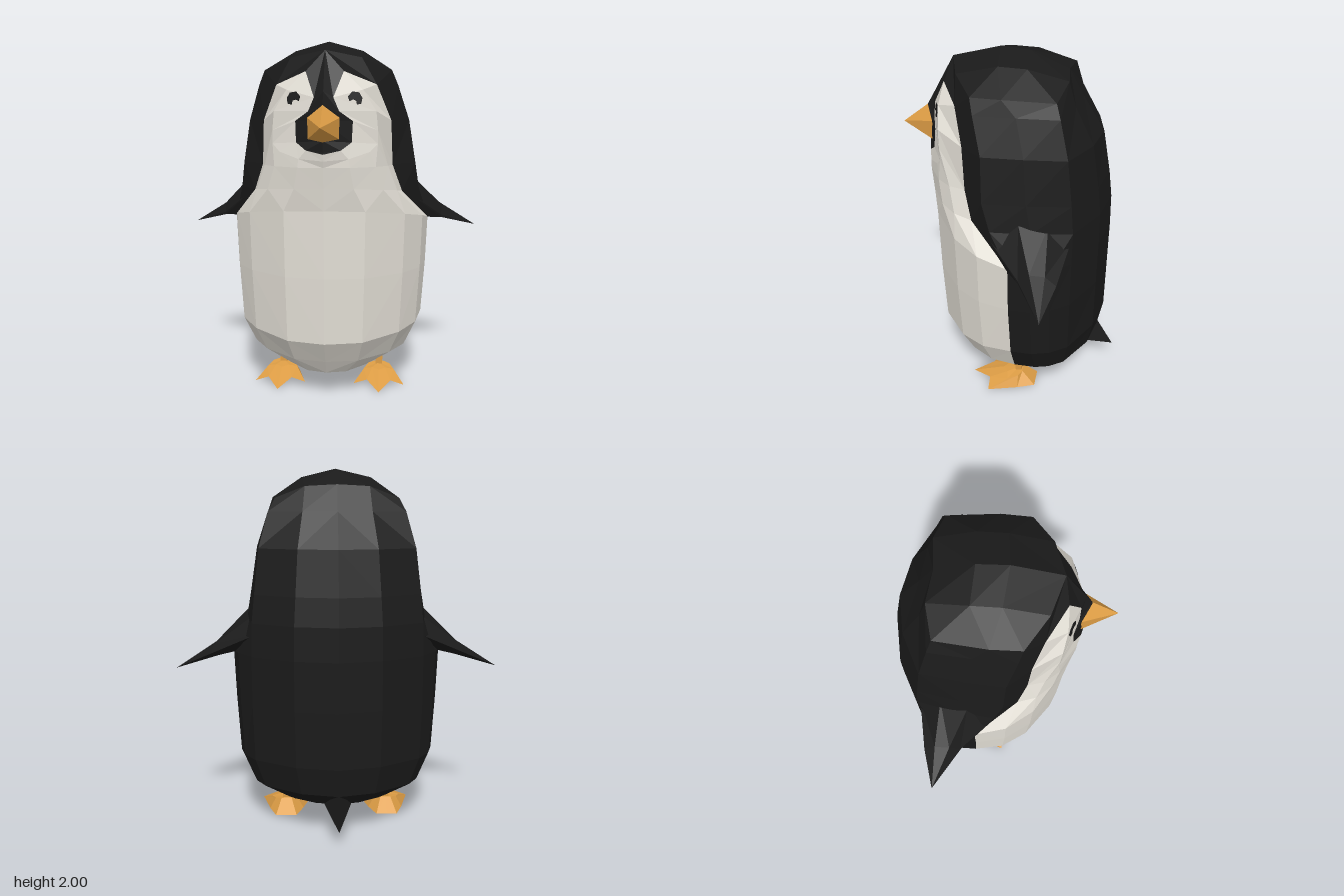
import * as THREE from 'three';

const material = (color) => new THREE.MeshStandardMaterial({ color, flatShading: true });
const black = material(0x1a1a1a);
const white = material(0xe2ded5);
const orange = material(0xdd9d45);

// Faceted mesh from grids of [x, y, z] rows; every grid is also mirrored across x = 0.
function loft(name, mat, ...grids) {
  const pos = [];
  const tri = (a, b, c) => {
    const [A, B, C] = [a, b, c].map((p) => new THREE.Vector3(...p));
    if (B.clone().sub(A).cross(C.clone().sub(A)).length() < 1e-7) return;
    pos.push(...a, ...b, ...c);
    const flip = (p) => [-p[0], p[1], p[2]];
    pos.push(...flip(a), ...flip(c), ...flip(b));
  };
  for (const rows of grids) {
    for (let r = 0; r + 1 < rows.length; r++) {
      for (let c = 0; c + 1 < rows[r].length; c++) {
        const [p, q, s, t] = [rows[r][c], rows[r][c + 1], rows[r + 1][c + 1], rows[r + 1][c]];
        tri(p, q, s);
        tri(p, s, t);
      }
    }
  }
  const geo = new THREE.BufferGeometry();
  geo.setAttribute('position', new THREE.Float32BufferAttribute(pos, 3));
  geo.computeVertexNormals();
  const mesh = new THREE.Mesh(geo, mat);
  mesh.name = name;
  return mesh;
}

const same = (p, n) => Array(n).fill(p);

// Body sections: y at side, y at front, half width, front z, back z,
// colour border x and z, back corner x and z
const sections = [
  [0.145, 0.145, 0.29, 0.28, -0.37, 0.29, -0.10, 0.24, -0.28],
  [0.26, 0.23, 0.475, 0.335, -0.53, 0.475, -0.09, 0.4, -0.365],
  [0.42, 0.36, 0.545, 0.415, -0.56, 0.545, -0.08, 0.45, -0.39],
  [0.73, 0.73, 0.565, 0.43, -0.56, 0.565, -0.07, 0.46, -0.39],
  [1.0, 1.1, 0.575, 0.435, -0.56, 0.575, -0.07, 0.46, -0.39],
  [1.18, 1.22, 0.515, 0.45, -0.555, 0.415, 0.155, 0.455, -0.39],
  [1.33, 1.33, 0.49, 0.465, -0.535, 0.36, 0.2, 0.44, -0.375],
  [1.57, 1.57, 0.45, 0.49, -0.49, 0.35, 0.21, 0.415, -0.345],
  [1.76, 1.76, 0.385, 0.43, -0.37, 0.27, 0.26, 0.365, -0.295],
];

// Half section in front of the colour border
function frontRow([y, yf, , zf, , bx, bz]) {
  const across = [0, 0.38, 0.75, 0.93, 1], forward = [1, 0.93, 0.63, 0.34, 0];
  return across.map((k, i) => [bx * k, y + (yf - y) * forward[i], bz + (zf - bz) * forward[i]]);
}

// Half section behind the colour border
function backRow([y, , hw, , zb, bx, bz, cx, cz]) {
  const zm = bz - 0.12;
  return [[bx, y, bz], [hw, y, zm], [hw * 0.7 + cx * 0.3, y, (zm + cz) / 2],
    [cx, y, cz], [cx / 2, y, zb + (cz - zb) * 0.27], [0, y, zb]];
}

function makeBody(group) {
  const belly = sections.slice(0, 7).map(frontRow);
  const back = sections.map(backRow);
  const under = [0, 0.13, -0.03];

  // Crown of the head
  const crownFront = [0, 1.935, 0.33];
  const crown = [[0.19, 1.9, 0.27], [0.35, 1.84, 0.16], [0.355, 1.84, 0],
    [0.33, 1.83, -0.27], [0.17, 1.89, -0.31], [0, 1.9, -0.29]];
  const t0 = [0, 2, 0.07], t1 = [0, 1.985, -0.09], s0 = [0.19, 1.95, 0.05], s1 = [0.19, 1.945, -0.1];

  // Face rings: outer edge, cheek bulge, dark patch round the beak, centre line
  const browTip = [0.1, 1.825, 0.36];
  const outer = [...belly[6], back[7][0], back[8][0], browTip];
  const cheek = [[0, 1.365, 0.475], [0.13, 1.375, 0.447], [0.24, 1.41, 0.38], [0.28, 1.45, 0.35],
    [0.28, 1.52, 0.352], [0.27, 1.62, 0.355], [0.2, 1.73, 0.368], browTip];
  const patch = [[0, 1.4, 0.48], [0.09, 1.42, 0.46], [0.145, 1.46, 0.42], [0.145, 1.46, 0.42],
    [0.15, 1.57, 0.407], [0.08, 1.62, 0.43], [0.05, 1.69, 0.43], browTip];
  const middle = [[1.4, 0.48], [1.41, 0.48], [1.47, 0.485], [1.47, 0.485], [1.57, 0.49], [1.65, 0.49],
    [1.72, 0.45], [1.935, 0.33]].map(([y, z]) => [0, y, z]);

  group.add(loft('belly', white, belly, [same(under, 5), belly[0]], [same(under, 6), back[0]]));
  group.add(loft('face', white, [outer, cheek, patch]));
  group.add(loft('beakPatch', black, [patch, middle]));
  group.add(loft('back', black, [...back, crown]));
  group.add(loft('crown', black,
    [[back[8][0], crown[0]], [browTip, crownFront]],
    [[crownFront, ...crown], [t0, s0, s0, s0, s1, s1, t1]],
    [[t0, s0], [t1, s1]]));
}

function makeEye(side) {
  // Dark faceted disc with a notch in its lower edge
  const shape = new THREE.Shape([[-0.04, 0.008], [-0.032, -0.016], [-0.012, -0.008], [0.004, -0.014],
    [0.008, -0.034], [0.03, -0.03], [0.038, 0], [0.022, 0.028], [-0.015, 0.033]]
    .map(([x, y]) => new THREE.Vector2(x * side, y)));
  const geo = new THREE.ExtrudeGeometry(shape, { depth: 0.012, bevelEnabled: false });
  geo.translate(0, 0, -0.006);
  const eye = new THREE.Mesh(geo, black);
  eye.name = side > 0 ? 'leftEye' : 'rightEye';
  eye.position.set(side * 0.16, 1.687, 0.386);
  eye.lookAt(side * 0.58, 1.887, 1.386);
  return eye;
}

function makeLeg(side) {
  const leg = new THREE.Group();
  leg.name = side > 0 ? 'leftLeg' : 'rightLeg';
  const shin = new THREE.Mesh(new THREE.BoxGeometry(0.042, 0.1, 0.036), orange);
  shin.name = 'shin';
  shin.position.set(0, 0.115, -0.085);
  // Webbed foot with three toes
  const edge = [[0, 0, 0.2], [0.07, 0.028, 0.085], [0.15, 0, 0.08], [0.1, 0, -0.09], [0.06, 0, -0.19], [0, 0, -0.19]];
  const top = [[0, 0.062, 0.01], [0.04, 0.065, -0.02], [0.09, 0.054, -0.03],
    [0.065, 0.066, -0.09], [0.03, 0.073, -0.11], [0, 0.073, -0.11]];
  const foot = loft('foot', orange,
    [same([0, 0.015, -0.05], 6), edge, top, same([0, 0.075, -0.085], 6)]);
  leg.add(shin, foot);
  leg.position.x = side * 0.297;
  return leg;
}

export function createModel() {
  const group = new THREE.Group();
  group.name = 'penguin';
  makeBody(group);

  // Beak
  const beakBase = [[0, 1.45, 0.46], [0.085, 1.475, 0.44], [0.09, 1.59, 0.43], [0, 1.655, 0.485]];
  group.add(loft('beak', orange, [beakBase, same([0, 1.54, 0.635], 4)]));

  // Wings, root to tip
  const root = [[0.54, 1.0, -0.2], [0.43, 1.12, -0.38], [0.45, 1.21, -0.26], [0.49, 1.23, -0.11],
    [0.43, 1.18, 0.12], [0.56, 1.0, -0.05], [0.54, 1.0, -0.2]];
  const mid = [[0.66, 0.978, -0.24], [0.68, 1.01, -0.34], [0.67, 1.05, -0.28], [0.67, 1.05, -0.2],
    [0.66, 1.0, -0.14], [0.66, 0.985, -0.14], [0.66, 0.978, -0.24]];
  group.add(loft('wings', black, [root, mid, same([0.88, 0.92, -0.285], 7)]));

  // Tail
  const tailBase = [[0, 0.28, -0.53], [0.075, 0.165, -0.4], [0, 0.15, -0.36]];
  group.add(loft('tail', black, [tailBase, same([0, 0.105, -0.635], 3)]));

  for (const side of [1, -1]) group.add(makeEye(side), makeLeg(side));
  return group;
}
